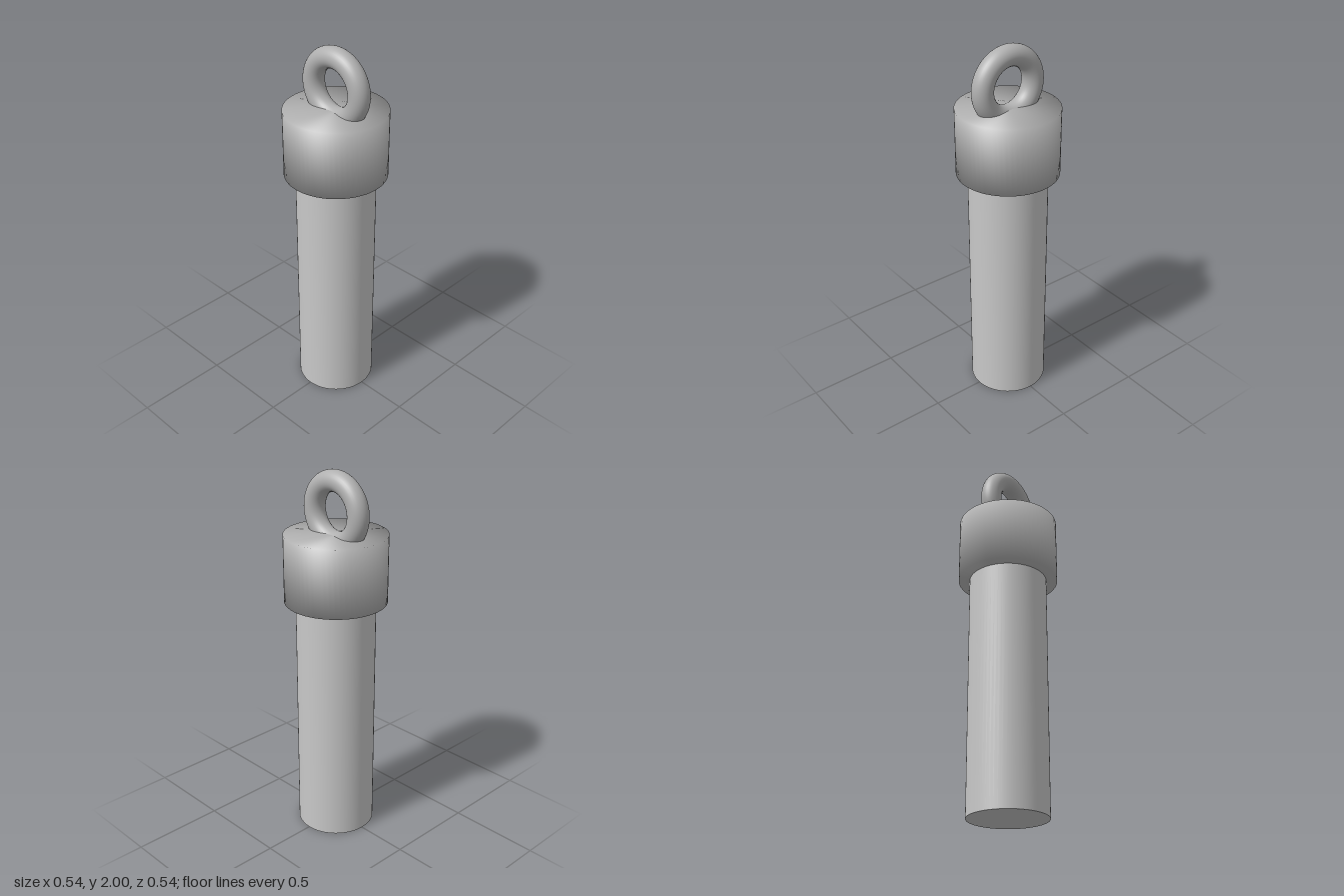
import * as THREE from 'three';

export function createModel() {
  const model = new THREE.Group();
  const darkGrey = new THREE.MeshStandardMaterial({ color: 0xb0b0b0 });
  darkGrey.name = 'mid grey';
  const lightGrey = new THREE.MeshStandardMaterial({ color: 0xc8c8c8 });
  lightGrey.name = 'light grey';

  const add = (name, geometry, material, y) => {
    const mesh = new THREE.Mesh(geometry, material);
    mesh.name = name;
    mesh.position.y = y;
    model.add(mesh);
  };

  // Long round shaft, reaching a little way into the collar
  add('shaft', new THREE.CylinderGeometry(0.21, 0.21, 1.34, 64), lightGrey, 0.67);

  // Wide collar, shaded smoothly over its rims
  const collarProfile = [[0, 0], [0.27, 0], [0.27, 0.36], [0, 0.36]]
    .map(([r, y]) => new THREE.Vector2(r, y));
  add('collar', new THREE.LatheGeometry(collarProfile, 64), darkGrey, 1.315);

  // Upright hanging ring, sunk into the collar
  add('ring', new THREE.TorusGeometry(0.156, 0.056, 32, 64), darkGrey, 1.788);

  return model;
}
